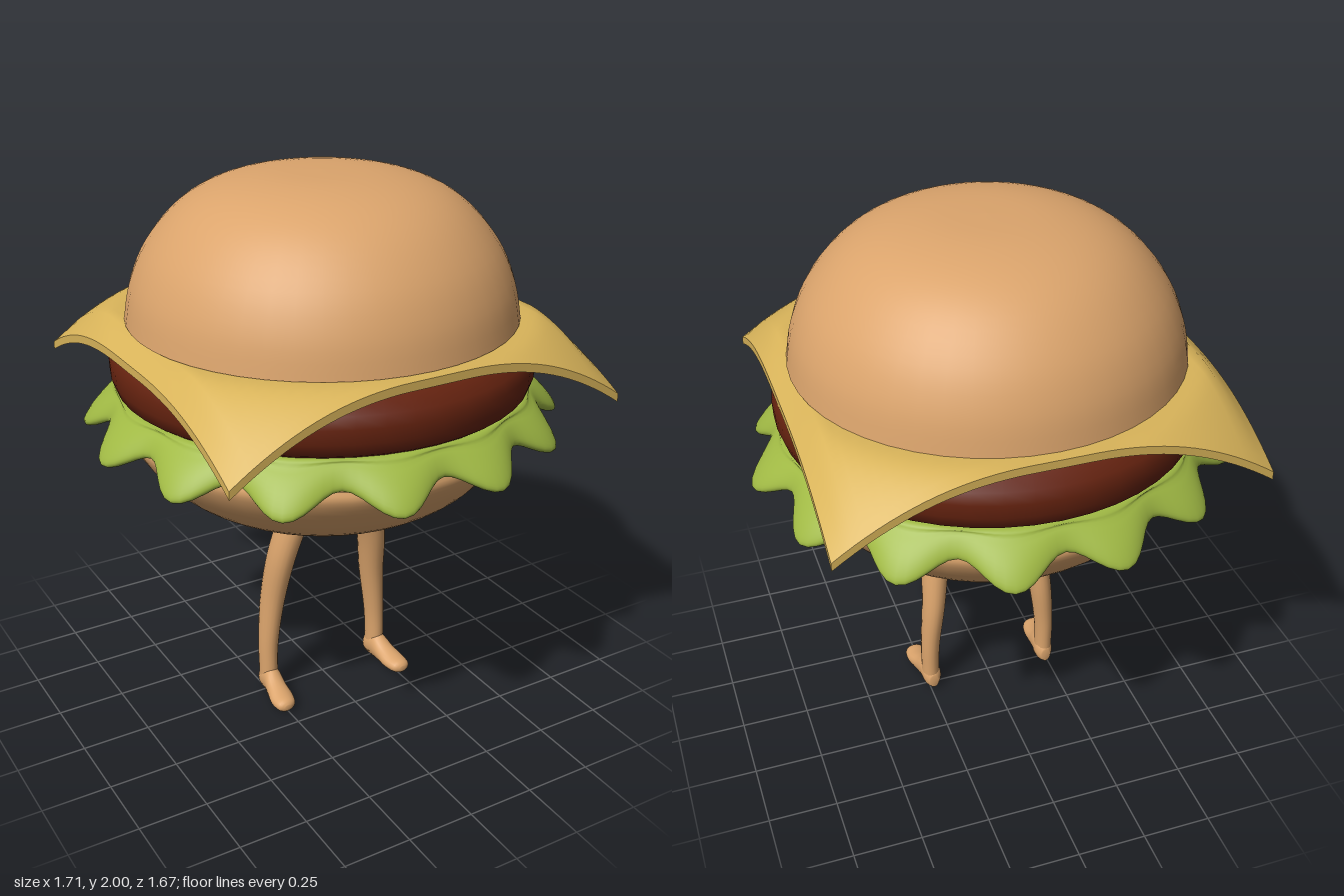
import * as THREE from 'three';

const mat = (name, color) => {
  const m = new THREE.MeshStandardMaterial({ color });
  m.name = name;
  return m;
};

// Smooth skin over rings of points, closed at both ends
function loft(rings) {
  const n = rings[0].length, pos = [], index = [];
  rings.forEach(r => r.forEach(p => pos.push(...p)));
  for (let i = 0; i < rings.length - 1; i++) {
    for (let j = 0; j < n; j++) {
      const k = (j + 1) % n, a = i * n, b = a + n;
      index.push(a + j, b + j, a + k, b + j, b + k, a + k);
    }
  }
  [0, rings.length - 1].forEach((ri, end) => {
    const c = pos.length / 3, ring = rings[ri];
    pos.push(...[0, 1, 2].map(d => ring.reduce((s, p) => s + p[d], 0) / n));
    for (let j = 0; j < n; j++) {
      const a = ri * n + j, b = ri * n + (j + 1) % n;
      index.push(c, ...(end ? [b, a] : [a, b]));
    }
  });
  const g = new THREE.BufferGeometry();
  g.setAttribute('position', new THREE.Float32BufferAttribute(pos, 3));
  g.setIndex(index);
  g.computeVertexNormals();
  return g;
}

const ringOf = (n, f) => Array.from({ length: n }, (_, j) => f(j / n * Math.PI * 2));

// Lathe through a curve fitted to the profile points, bottom to top
function smoothLathe(points, steps = 24) {
  const curve = new THREE.SplineCurve(points.map(p => new THREE.Vector2(...p)));
  const pts = curve.getPoints(steps);
  pts.forEach(p => { p.x = Math.max(p.x, 0); });
  return new THREE.LatheGeometry(pts, 48);
}
const flatLathe = points => new THREE.LatheGeometry(points.map(p => new THREE.Vector2(...p)), 48);

// Smooth interpolation of rows of section numbers
function refine(rows, steps) {
  const out = [];
  for (let s = 0; s <= steps; s++) {
    const t = s / steps * (rows.length - 1), i = Math.min(Math.floor(t), rows.length - 2), f = t - i;
    const at = k => rows[Math.max(0, Math.min(rows.length - 1, k))];
    out.push(rows[0].map((_, d) => {
      const p0 = at(i - 1)[d], p1 = at(i)[d], p2 = at(i + 1)[d], p3 = at(i + 2)[d];
      return p1 + 0.5 * f * (p2 - p0 + f * (2 * p0 - 5 * p1 + 4 * p2 - p3 + f * (3 * (p1 - p2) + p3 - p0)));
    }));
  }
  return out;
}

export function createModel() {
  const model = new THREE.Group();
  const bun = mat('bun', 0xdba46c), cheese = mat('cheese', 0xd9b45a);
  const lettuce = mat('lettuce', 0xa0b944), meat = mat('patty', 0x64220f);
  const add = (name, geo, material, parent = model) => {
    const mesh = new THREE.Mesh(geo, material);
    mesh.name = name;
    parent.add(mesh);
  };

  // Buns: domes with separate flat faces to keep the rims sharp
  add('topBun', smoothLathe([[0.69, 1.505], [0.665, 1.63], [0.605, 1.76], [0.5, 1.88], [0.37, 1.955], [0.2, 1.993], [0, 2]]), bun);
  add('topBunUnderside', flatLathe([[0, 1.505], [0.69, 1.505]]), bun);
  add('bottomBun', smoothLathe([[0, 0.783], [0.2, 0.787], [0.4, 0.825], [0.55, 0.905], [0.65, 1.01], [0.697, 1.09], [0.692, 1.13]]), bun);
  add('bottomBunTop', flatLathe([[0.692, 1.13], [0.6, 1.165], [0, 1.18]]), bun);

  // Patty
  add('patty', flatLathe([[0, 1.25], [0.7, 1.25], [0.735, 1.275], [0.75, 1.32], [0.752, 1.37], [0.74, 1.41], [0.7, 1.45], [0.64, 1.465], [0, 1.47]]), meat);

  // Cheese slice: square sheet whose corners and side edges droop
  const sheet = new THREE.BoxGeometry(1.48, 0.03, 1.46, 40, 1, 40);
  const p = sheet.attributes.position;
  for (let i = 0; i < p.count; i++) {
    const x = p.getX(i), z = p.getZ(i);
    const corner = 1.15 * Math.max(0, Math.hypot(x, z) - 0.74) ** 1.4;
    const side = 0.06 * THREE.MathUtils.smoothstep(Math.abs(x), 0.66, 0.745) * (1 - (z / 0.73) ** 2);
    p.setY(i, p.getY(i) + 1.488 - corner - side);
  }
  sheet.computeVertexNormals();
  add('cheeseSlice', sheet, cheese);

  // Lettuce leaf: disc with a drooping rim of fourteen scallops
  // Each row: radius, height, wave in radius, wave in height
  const leaf = refine([
    [0.3, 1.19, 0, 0], [0.64, 1.19, 0, 0], [0.7, 1.185, 0.01, -0.01], [0.775, 1.14, 0.035, -0.032],
    [0.805, 1.135, 0.043, -0.035], [0.812, 1.155, 0.043, -0.033], [0.785, 1.2, 0.03, -0.02],
    [0.74, 1.245, 0.01, -0.005], [0.69, 1.267, 0, 0], [0.3, 1.268, 0, 0],
  ], 36);
  add('lettuceLeaf', loft(leaf.map(([r, y, wr, wy]) => ringOf(168, a => {
    const w = Math.cos(14 * a), rr = r + wr * w;
    return [rr * Math.cos(a), y + wy * w, rr * Math.sin(a)];
  }))), lettuce);

  // Legs and feet, mirrored left and right
  for (const s of [-1, 1]) {
    const leg = new THREE.Group();
    leg.name = s > 0 ? 'leftLeg' : 'rightLeg';
    model.add(leg);
    // Each row: x, y, z, half width, half depth
    const shin = refine([
      [0.238, 0.03, 0, 0.035, 0.043], [0.24, 0.1, 0, 0.034, 0.043], [0.237, 0.22, -0.002, 0.037, 0.046],
      [0.219, 0.4, 0.003, 0.044, 0.057], [0.193, 0.6, 0.036, 0.052, 0.064], [0.14, 0.78, 0.06, 0.06, 0.064],
      [0.11, 0.86, 0.065, 0.06, 0.064],
    ], 30);
    add('shin', loft(shin.map(([x, y, z, w, d]) =>
      ringOf(20, a => [s * x + w * Math.cos(a), y, z + d * Math.sin(a)]))), bun, leg);
    // Each row: x, y, z, half width, half height, from toe to heel
    const foot = refine([
      [0.258, 0.033, 0.19, 0.012, 0.01], [0.257, 0.034, 0.175, 0.036, 0.024], [0.253, 0.037, 0.13, 0.046, 0.03],
      [0.247, 0.046, 0.08, 0.041, 0.04], [0.241, 0.06, 0.03, 0.037, 0.055], [0.238, 0.055, -0.02, 0.035, 0.05],
      [0.238, 0.045, -0.046, 0.018, 0.028],
    ], 24);
    add('foot', loft(foot.map(([x, y, z, w, h]) =>
      ringOf(20, a => [s * x + w * Math.cos(a), Math.max(0, y - 0.005 + h * Math.sin(a)), z]))), bun, leg);
  }
  return model;
}
